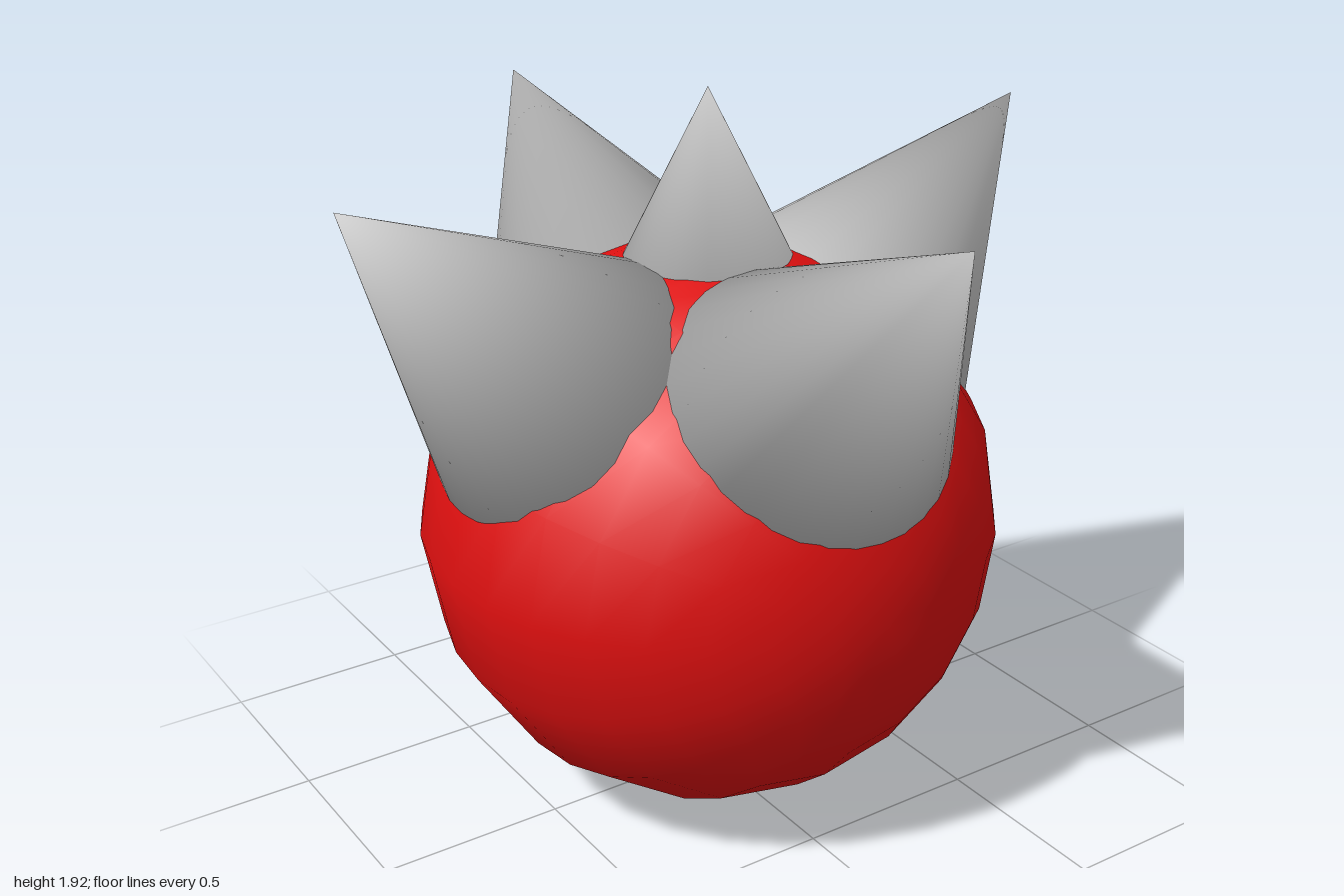
import * as THREE from 'three';

const R = 0.767; // ball radius; every spike is R tall and R wide

// Cone whose smooth shading runs from the tip across the base rim
function spikeGeometry() {
  const geo = new THREE.ConeGeometry(R / 2, R, 32);
  const pos = geo.attributes.position;
  const normal = geo.attributes.normal;
  const n = new THREE.Vector3();
  for (let i = 0; i < pos.count; i++) {
    n.set(pos.getX(i), 0, pos.getZ(i));
    if (n.length() < 0.001) n.set(0, Math.sign(pos.getY(i)), 0);
    else n.setLength(0.85).setY(-0.526);
    normal.setXYZ(i, n.x, n.y, n.z);
  }
  return geo;
}

export function createModel() {
  const group = new THREE.Group();
  const red = new THREE.MeshStandardMaterial({ color: 0xe01010 });
  const grey = new THREE.MeshStandardMaterial({ color: 0xcccccc });

  // Round body, poles facing front and back
  const ball = new THREE.Mesh(new THREE.SphereGeometry(R, 16, 16), red);
  ball.name = 'ball';
  ball.rotation.x = Math.PI / 2;
  ball.position.y = R;
  group.add(ball);

  // Spikes point away from the ball's centre
  const geo = spikeGeometry();
  const up = new THREE.Vector3(0, 1, 0);
  function addSpike(name, x, y, z, tipDistance) {
    const dir = new THREE.Vector3(x, y, z).normalize();
    const spike = new THREE.Mesh(geo, grey);
    spike.name = name;
    spike.quaternion.setFromUnitVectors(up, dir);
    spike.position.copy(dir).multiplyScalar(tipDistance - R / 2);
    spike.position.y += R;
    group.add(spike);
  }
  addSpike('topSpike', 0, 1, 0, 1.5 * R);
  addSpike('leftSpike', 1, 1, 0, Math.SQRT2);
  addSpike('rightSpike', -1, 1, 0, Math.SQRT2);
  addSpike('frontSpike', 0, 1, 1, Math.SQRT2);
  addSpike('backSpike', 0, 1, -1, Math.SQRT2);

  return group;
}
